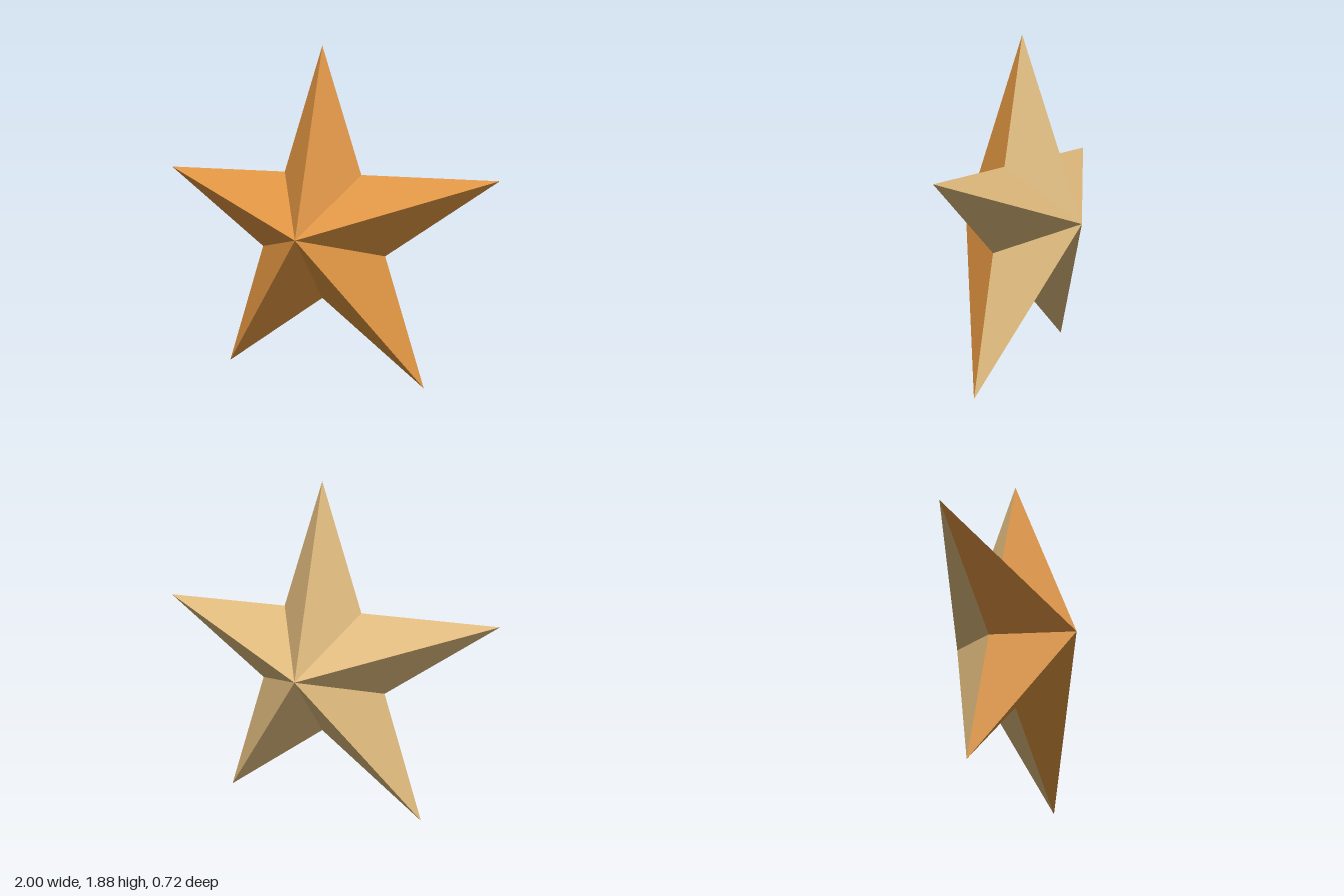
import * as THREE from 'three';

const CENTRE_Y = 0.85;
const HALF_DEPTH = 0.36;

// Right half of the outline, from the top point clockwise to the bottom notch
const half = [[0, 1.88], [0.235, 1.175], [1, 1.175], [0.38, 0.73], [0.615, 0.003], [0, 0.455]];
const outline = [...half, ...half.slice(1, -1).reverse().map(([x, y]) => [-x, y])];

// Fan of flat facets from the outline to a raised centre point
function facets(side) {
  const positions = [];
  outline.forEach((a, i) => {
    const b = outline[(i + 1) % outline.length];
    const [p, q] = side > 0 ? [b, a] : [a, b];
    positions.push(0, CENTRE_Y, side * HALF_DEPTH, p[0], p[1], 0, q[0], q[1], 0);
  });
  const geometry = new THREE.BufferGeometry();
  geometry.setAttribute('position', new THREE.Float32BufferAttribute(positions, 3));
  geometry.computeVertexNormals();
  return geometry;
}

function material(name, color) {
  const m = new THREE.MeshStandardMaterial({ color, flatShading: true });
  m.name = name;
  return m;
}

export function createModel() {
  const star = new THREE.Group();
  star.name = 'star';
  const front = new THREE.Mesh(facets(1), material('orange', 0xde9340));
  front.name = 'frontFacets';
  const back = new THREE.Mesh(facets(-1), material('tan', 0xdeb97c));
  back.name = 'backFacets';
  star.add(front, back);
  return star;
}
